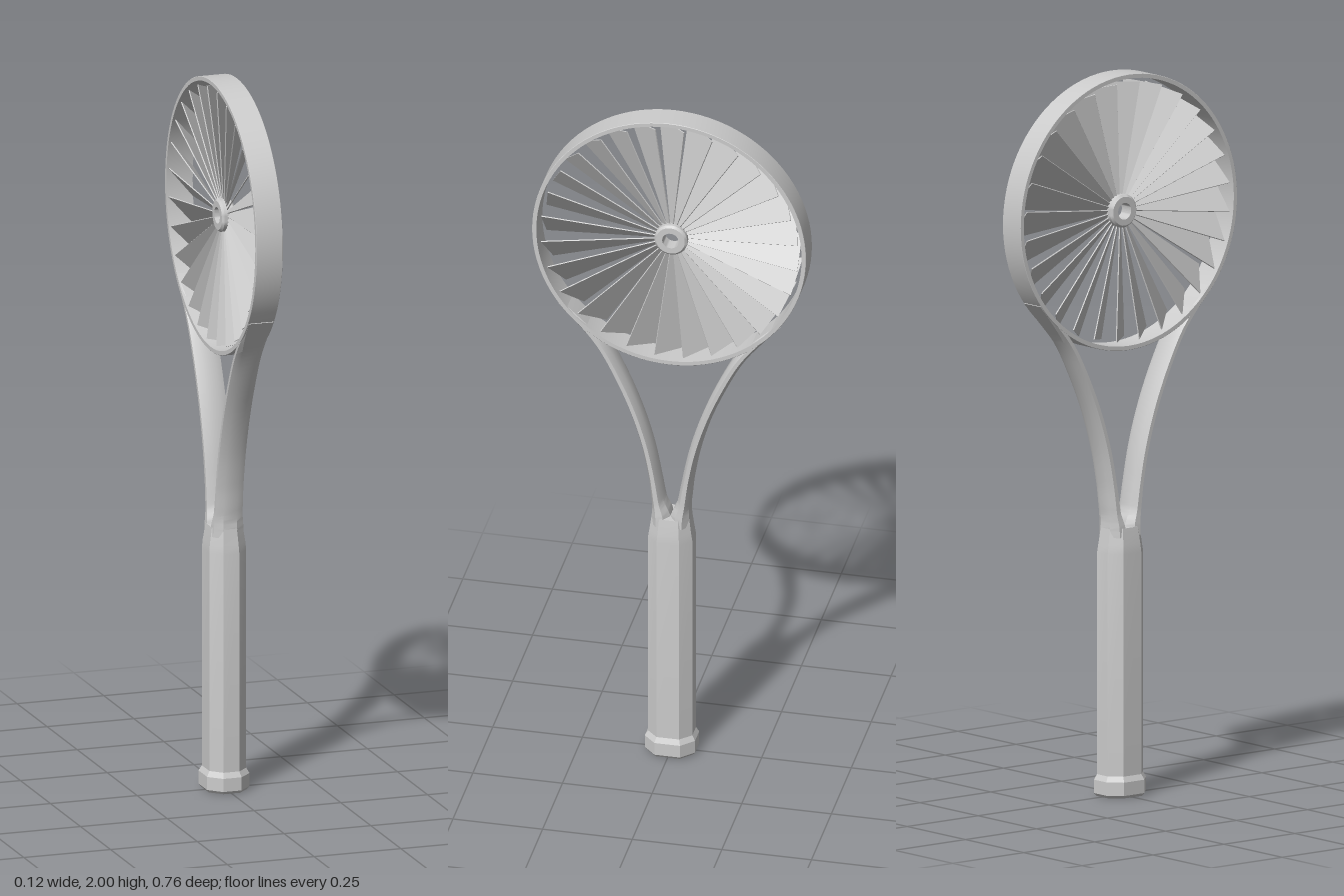
import * as THREE from 'three';
import { toCreasedNormals } from 'three/addons/utils/BufferGeometryUtils.js';

const HEAD_Y = 1.618, BLADES = 28;
const mat = new THREE.MeshStandardMaterial({ color: 0xcccccc });

function mesh(name, geometry, crease = 0.5) {
  const m = new THREE.Mesh(toCreasedNormals(geometry, crease), mat);
  m.name = name;
  return m;
}

// Chamfered rectangle: half sizes hx, hz and half widths of the flats fx, fz
function octagon(hx, hz, fx, fz) {
  return [[-fx, hz], [fx, hz], [hx, fz], [hx, -fz], [fx, -hz], [-fx, -hz], [-hx, -fz], [-hx, fz]];
}

// Skin a list of equal-length rings of Vector3, closing both ends
function loft(rings) {
  const n = rings[0].length, pos = [], idx = [];
  rings.forEach(r => r.forEach(p => pos.push(p.x, p.y, p.z)));
  for (let i = 0; i < rings.length - 1; i++) {
    for (let j = 0; j < n; j++) {
      const a = i * n + j, b = i * n + (j + 1) % n;
      idx.push(a, b, b + n, a, b + n, a + n);
    }
  }
  const last = (rings.length - 1) * n;
  for (let j = 1; j < n - 1; j++) {
    idx.push(0, j + 1, j, last, last + j, last + j + 1);
  }
  const g = new THREE.BufferGeometry();
  g.setAttribute('position', new THREE.Float32BufferAttribute(pos, 3));
  g.setIndex(idx);
  return g;
}

// Ring with a rectangular, lightly bevelled section, turned about the x axis
function band(inner, outer, half, bevel, segments) {
  const profile = [
    [inner, -half], [outer - bevel, -half], [outer, -half + bevel],
    [outer, half - bevel], [outer - bevel, half], [inner, half], [inner, -half],
  ].map(p => new THREE.Vector2(...p));
  return new THREE.LatheGeometry(profile, segments).rotateZ(Math.PI / 2);
}

// Octagonal grip with a flared, recessed butt and a tapered neck: y, hx, hz
function handleGeometry() {
  const stations = [
    [0.02, 0.042, 0.050], [0, 0.044, 0.052], [0, 0.055, 0.064], [0.008, 0.061, 0.070],
    [0.045, 0.061, 0.070], [0.06, 0.053, 0.062], [0.675, 0.053, 0.062],
    [0.70, 0.051, 0.058], [0.745, 0.044, 0.052],
  ];
  return loft(stations.map(([y, hx, hz]) =>
    octagon(hx, hz, hx * 0.43, hz * 0.51).map(([x, z]) => new THREE.Vector3(x, y, z))));
}

// Curved arm from the neck up to the rim: z, y, half thickness, half width, half flat
function armGeometry() {
  const stations = [
    [0.026, 0.72, 0.026, 0.044, 0.021], [0.027, 0.748, 0.0255, 0.043, 0.020],
    [0.035, 0.785, 0.017, 0.039, 0.019], [0.046, 0.86, 0.014, 0.038, 0.019],
    [0.066, 0.96, 0.0135, 0.038, 0.019], [0.100, 1.07, 0.0135, 0.038, 0.019],
    [0.147, 1.18, 0.0135, 0.038, 0.019], [0.196, 1.270, 0.013, 0.038, 0.022],
    [0.254, 1.340, 0.009, 0.0375, 0.031], [0.306, 1.395, 0.005, 0.037, 0.036],
  ];
  const path = new THREE.CatmullRomCurve3(stations.map(s => new THREE.Vector3(0, s[1], s[0])));
  const rings = [], steps = 45, spans = stations.length - 1;
  for (let i = 0; i <= steps; i++) {
    const t = i / steps, k = Math.min(Math.floor(t * spans), spans - 1);
    const mix = c => THREE.MathUtils.lerp(stations[k][c], stations[k + 1][c], t * spans - k);
    const p = path.getPoint(t), d = path.getTangent(t);
    const h = mix(2), w = mix(3), f = mix(4);
    rings.push(octagon(w, h, f, h * 0.4).map(([x, n]) =>
      new THREE.Vector3(x, p.y - d.z * n, p.z + d.y * n)));
  }
  return loft(rings);
}

// Flat pitched blade that widens from hub to tip
function bladeGeometry() {
  const root = 0.04, tip = 0.357, pitch = THREE.MathUtils.degToRad(40);
  const g = new THREE.BoxGeometry(0.003, tip - root, 1).translate(0, (tip + root) / 2, 0);
  const p = g.attributes.position;
  for (let i = 0; i < p.count; i++) {
    const chord = 2 * Math.PI * p.getY(i) / BLADES / Math.cos(pitch) * 1.04;
    p.setZ(i, p.getZ(i) * chord);
  }
  return g.rotateY(-pitch);
}

export function createModel() {
  const group = new THREE.Group();
  group.name = 'fanRacket';

  group.add(mesh('handle', handleGeometry(), 0.2));

  // Two mirrored arms
  const armGeo = armGeometry();
  ['leftArm', 'rightArm'].forEach((name, i) => {
    const arm = mesh(name, armGeo);
    arm.rotation.y = i * Math.PI;
    group.add(arm);
  });

  // Round head: rim, hub and blades
  const head = new THREE.Group();
  head.name = 'head';
  head.position.y = HEAD_Y;
  head.add(mesh('rim', band(0.370, 0.382, 0.038, 0.001, 96)));
  head.add(mesh('hub', band(0.023, 0.046, 0.02, 0.006, 32)));
  const bladeGeo = bladeGeometry();
  for (let i = 0; i < BLADES; i++) {
    const blade = mesh('blade', bladeGeo);
    blade.rotation.x = i / BLADES * Math.PI * 2;
    head.add(blade);
  }
  group.add(head);
  return group;
}
